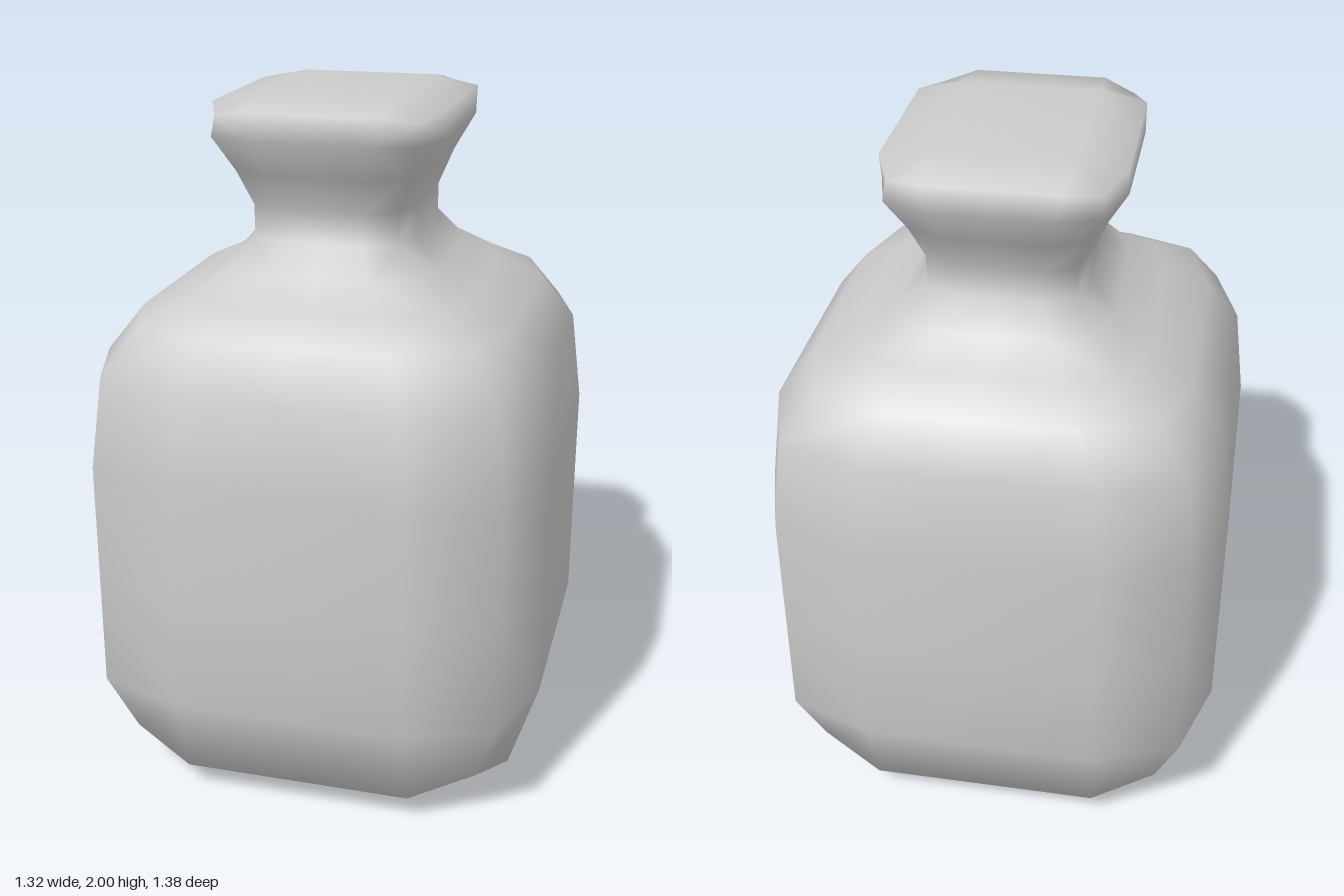
import * as THREE from 'three';

// One Catmull-Clark smoothing step for a closed mesh of quads.
function subdivide(points, quads) {
  const average = (list) => list.reduce((s, p) => s.add(p), new THREE.Vector3()).divideScalar(list.length);
  const facePoints = quads.map((q) => average(q.map((i) => points[i])));
  const edges = new Map();
  const around = points.map(() => ({ faces: [], mids: [] }));
  const key = (a, b) => (a < b ? `${a}_${b}` : `${b}_${a}`);

  quads.forEach((q, f) => q.forEach((a, i) => {
    const b = q[(i + 1) % 4];
    around[a].faces.push(facePoints[f]);
    if (!edges.has(key(a, b))) {
      edges.set(key(a, b), { a, b, faces: [] });
      const mid = average([points[a], points[b]]);
      around[a].mids.push(mid);
      around[b].mids.push(mid);
    }
    edges.get(key(a, b)).faces.push(facePoints[f]);
  }));

  const result = points.map((p, i) => {
    const n = around[i].faces.length;
    return average(around[i].faces)
      .addScaledVector(average(around[i].mids), 2)
      .addScaledVector(p, n - 3)
      .divideScalar(n);
  });
  const faceStart = result.length;
  result.push(...facePoints);
  for (const e of edges.values()) {
    e.index = result.length;
    result.push(average([points[e.a], points[e.b], ...e.faces]));
  }

  const newQuads = [];
  quads.forEach((q, f) => q.forEach((a, i) => {
    const next = edges.get(key(a, q[(i + 1) % 4])).index;
    const prev = edges.get(key(a, q[(i + 3) % 4])).index;
    newQuads.push([a, next, faceStart + f, prev]);
  }));
  return [result, newQuads];
}

// Rectangular cage levels: height, half width, half depth
const LEVELS = [
  [0, 0.66, 0.69], // base
  [0.68, 0.66, 0.69], // belly
  [1.34, 0.66, 0.69], // shoulder edge
  [1.46, 0.4, 0.46], // shoulder slope
  [1.6, 0.2, 0.25], // neck
  [1.8, 0.265, 0.335], // flare
  [2.0, 0.39, 0.485], // lid top
];
const RING = [[1, 1], [0, 1], [-1, 1], [-1, 0], [-1, -1], [0, -1], [1, -1], [1, 0]];

function bottleGeometry() {
  const points = [];
  const quads = [];
  for (const [y, w, d] of LEVELS) {
    for (const [x, z] of RING) points.push(new THREE.Vector3(x * w, y, z * d));
  }
  const n = RING.length;
  const top = (LEVELS.length - 1) * n;

  // Side walls
  for (let k = 0; k < top; k += n) {
    for (let i = 0; i < n; i++) {
      const j = (i + 1) % n;
      quads.push([k + j, k + i, k + n + i, k + n + j]);
    }
  }

  // Flat base and flat top, four quads each around a centre point
  const baseCentre = points.push(new THREE.Vector3(0, 0, 0)) - 1;
  const topCentre = points.push(new THREE.Vector3(0, 2, 0)) - 1;
  for (let c = 0; c < n; c += 2) {
    const next = c + 1;
    const prev = (c + n - 1) % n;
    quads.push([topCentre, top + next, top + c, top + prev]);
    quads.push([baseCentre, prev, c, next]);
  }

  const [smooth, faces] = subdivide(points, quads);
  const geometry = new THREE.BufferGeometry().setFromPoints(smooth);
  geometry.setIndex(faces.flatMap(([a, b, c, d]) => [a, b, c, a, c, d]));
  geometry.computeVertexNormals();
  return geometry;
}

export function createModel() {
  const group = new THREE.Group();
  group.name = 'squareBottle';
  const bottle = new THREE.Mesh(bottleGeometry(), new THREE.MeshStandardMaterial({ color: 0xcccccc }));
  bottle.name = 'bottleBody';
  group.add(bottle);
  return group;
}
